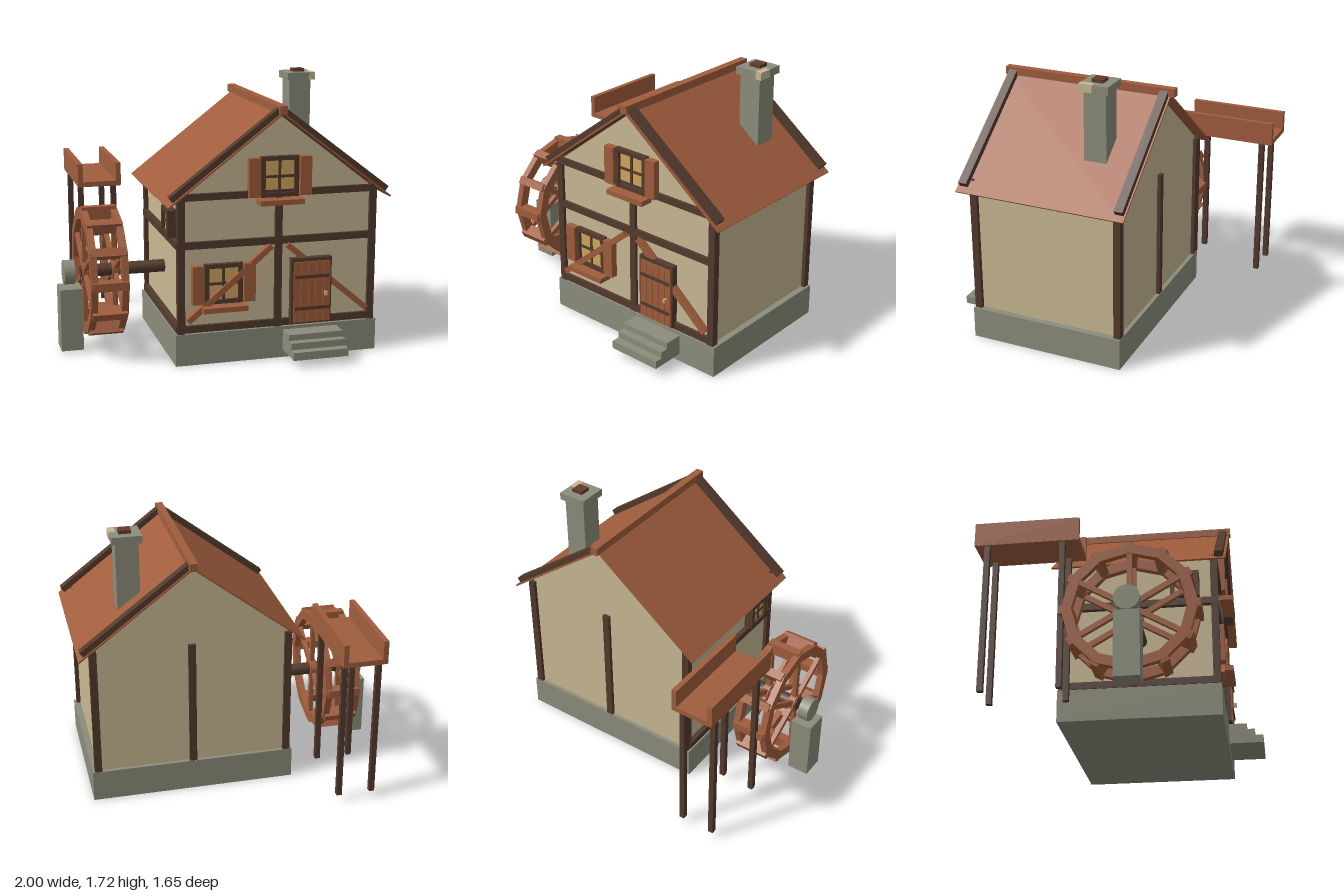
import * as THREE from 'three';

const mat = (name, color, side = THREE.FrontSide) => {
  const m = new THREE.MeshStandardMaterial({ color, side });
  m.name = name;
  return m;
};

export function createModel() {
  const plaster = mat('plaster', 0xc9b893);
  const stone = mat('stone', 0x8c8d7b);
  const darkWood = mat('dark wood', 0x533a2d);
  const redWood = mat('red wood', 0xa05d3d);
  const roofRed = mat('roof red', 0xa05d3d, THREE.DoubleSide);
  const gold = mat('window gold', 0xd0a65e);
  const brick = mat('flue brick', 0x633a2c);

  const model = new THREE.Group();
  model.name = 'watermill';
  const group = (name, parent = model) => {
    const g = new THREE.Group();
    g.name = name;
    parent.add(g);
    return g;
  };
  const add = (name, geo, material, parent = model) => {
    const m = new THREE.Mesh(geo, material);
    m.name = name;
    parent.add(m);
    return m;
  };
  // Box given by its limits on each axis
  const box = (name, material, x0, x1, y0, y1, z0, z1, parent = model) => {
    const m = add(name, new THREE.BoxGeometry(x1 - x0, y1 - y0, z1 - z0), material, parent);
    m.position.set((x0 + x1) / 2, (y0 + y1) / 2, (z0 + z1) / 2);
    return m;
  };
  // Sloping bar in the xy plane between two points
  const bar = (name, material, xa, ya, xb, yb, thick, z0, z1, parent = model) => {
    const m = add(name, new THREE.BoxGeometry(Math.hypot(xb - xa, yb - ya), thick, z1 - z0), material, parent);
    m.position.set((xa + xb) / 2, (ya + yb) / 2, (z0 + z1) / 2);
    m.rotation.z = Math.atan2(yb - ya, xb - xa);
    return m;
  };

  // Foundation and gabled walls
  box('foundation', stone, -0.36, 0.94, 0, 0.2, -0.385, 0.61);
  const outline = new THREE.Shape([[-0.32, 0.2], [0.9, 0.2], [0.9, 1.055], [0.29, 1.525], [-0.32, 1.055]]
    .map(([x, y]) => new THREE.Vector2(x, y)));
  add('walls', new THREE.ExtrudeGeometry(outline, { depth: 0.945, bevelEnabled: false }), plaster)
    .position.z = -0.36;

  // Timber frame
  const frame = group('timberFrame');
  for (const x of [-0.3225, 0.9025])
    for (const z of [0.5825, -0.36])
      box('cornerPost', darkWood, x - 0.0225, x + 0.0225, 0.2, 1.04, z - 0.0225, z + 0.0225, frame);
  for (const [y0, y1] of [[0.205, 0.25], [0.73, 0.775], [1.027, 1.07]])
    box('frontBeam', darkWood, -0.345, 0.925, y0, y1, 0.57, 0.604, frame);
  box('frontCentrePost', darkWood, 0.268, 0.314, 0.2, 1.04, 0.57, 0.603, frame);
  box('backCentrePost', darkWood, 0.268, 0.314, 0.2, 1.02, -0.382, -0.34, frame);
  for (const y of [0.205, 0.73])
    box('sideBeam', darkWood, -0.352, -0.31, y, y + 0.045, -0.36, 0.585, frame);
  for (const s of [-1, 1])
    bar('brace', redWood, 0.292 + s * 0.05, 0.725, 0.292 + s * 0.577, 0.28, 0.036, 0.585, 0.625, frame);

  // Roof: thin slopes, barge boards on top and a ridge beam
  const roof = group('roof');
  for (const s of [-1, 1]) {
    bar('roofSlope', roofRed, 0.29, 1.54, 0.29 + s * 0.703, 1.002, 0.01, -0.432, 0.66, roof);
    for (const z of s > 0 ? [0.618, -0.395] : [0.618])
      bar('bargeBoard', darkWood, 0.29, 1.559, 0.29 + s * 0.68, 1.043, 0.046, z - 0.027, z + 0.027, roof);
  }
  box('ridgeBeam', redWood, 0.267, 0.315, 1.535, 1.585, -0.463, 0.67, roof);

  // Chimney
  const chimney = group('chimney');
  box('chimneyStack', stone, 0.573, 0.716, 1.18, 1.65, -0.203, -0.06, chimney);
  box('chimneyCap', stone, 0.553, 0.738, 1.65, 1.697, -0.225, -0.04, chimney);
  box('capCornerStone', plaster, 0.7, 0.74, 1.649, 1.698, -0.125, -0.038, chimney);
  box('flue', brick, 0.61, 0.685, 1.69, 1.717, -0.17, -0.097, chimney);

  // Window around a centre point, facing +z from z = 0
  const makeWindow = (w, h, dressed) => {
    const g = group('window');
    const a = w / 2, b = h / 2;
    box('glass', gold, -a + 0.02, a - 0.02, -b + 0.02, b - 0.02, 0, 0.016, g);
    for (const s of [-1, 1]) {
      box('frameSide', darkWood, s * (a - 0.014) - 0.014, s * (a - 0.014) + 0.014, -b, b, 0, 0.034, g);
      box('frameRail', darkWood, -a, a, s * (b - 0.013) - 0.013, s * (b - 0.013) + 0.013, 0, 0.033, g);
    }
    box('mullion', darkWood, -0.008, 0.008, -b, b, 0, 0.023, g);
    box('glazingBar', darkWood, -a, a, -0.008, 0.008, 0, 0.022, g);
    if (dressed) {
      for (const s of [-1, 1])
        box('shutter', redWood, s * 0.162 - 0.036, s * 0.162 + 0.036, -0.12, 0.12, 0, 0.045, g);
      box('windowSill', redWood, -0.14, 0.14, -b - 0.04, -b - 0.008, 0, 0.09, g);
    }
    return g;
  };
  makeWindow(0.24, 0.25, true).position.set(-0.06, 0.507, 0.585);
  makeWindow(0.24, 0.25, true).position.set(0.29, 1.152, 0.585);
  const sideWindow = makeWindow(0.18, 0.17, false);
  sideWindow.position.set(-0.345, 0.865, 0.4);
  sideWindow.rotation.y = -Math.PI / 2;
  box('sideWindowBack', darkWood, -0.35, -0.31, 0.78, 0.95, 0.31, 0.49);

  // Plank door with hinges and knob
  const door = group('door');
  box('doorFrame', darkWood, 0.368, 0.63, 0.22, 0.635, 0.58, 0.627, door);
  for (let i = 0; i < 5; i++)
    box('plank', redWood, 0.382 + i * 0.048, 0.427 + i * 0.048, 0.225, 0.612, 0.6, 0.635, door);
  for (const y of [0.315, 0.518])
    box('hinge', darkWood, 0.39, 0.612, y - 0.01, y + 0.01, 0.6, 0.642, door);
  box('knob', gold, 0.581, 0.597, 0.393, 0.418, 0.63, 0.658, door);

  // Front steps
  for (const [top, z] of [[0.18, 0.725], [0.142, 0.775], [0.1, 0.828]])
    box('step', stone, 0.323, 0.675, 0.05, top, 0.6, z);

  // Water wheel, turning about the x axis
  const wheel = group('waterWheel');
  wheel.position.set(-0.737, 0.51, 0.12);
  for (const s of [-1, 1]) {
    const side = group('wheelSide', wheel);
    side.position.x = s * 0.095;
    for (let i = 0; i < 12; i++) {
      const turn = group('rimSegment', side);
      turn.rotation.x = (i + 0.5) * Math.PI / 6;
      box('rim', redWood, -0.021, 0.021, 0.325, 0.385, -0.103, 0.103, turn);
    }
    for (let i = 0; i < 6; i++) {
      const turn = group('spokeTurn', side);
      turn.rotation.x = i * Math.PI / 3;
      box('spoke', redWood, -0.014, 0.014, 0.02, 0.35, -0.016, 0.016, turn);
    }
    add('hub', new THREE.CylinderGeometry(0.06, 0.06, 0.046, 12), redWood, side).rotation.z = Math.PI / 2;
  }
  for (let i = 0; i < 12; i++) {
    const turn = group('paddleTurn', wheel);
    turn.rotation.x = i * Math.PI / 6;
    box('paddle', redWood, -0.108, 0.108, 0.335, 0.412, -0.026, 0.026, turn);
  }
  const lying = (name, r, x0, x1, material) => {
    const m = add(name, new THREE.CylinderGeometry(r, r, x1 - x0, 16), material);
    m.rotation.z = Math.PI / 2;
    m.position.set((x0 + x1) / 2, 0.508, 0.12);
  };
  lying('axle', 0.04, -0.86, -0.31, darkWood);
  lying('bearing', 0.077, -0.968, -0.9, stone);
  box('bearingPost', stone, -1, -0.86, 0.015, 0.415, 0.05, 0.2);

  // Flume on four legs
  const flume = group('flume');
  box('flumeFloor', redWood, -0.812, -0.534, 0.98, 1.012, -0.822, -0.188, flume);
  for (const x of [-0.797, -0.549]) {
    box('flumeSide', redWood, x - 0.016, x + 0.016, 0.985, 1.13, -0.823, -0.187, flume);
  }
  for (const x of [-0.782, -0.566])
    for (const z of [-0.748, -0.29])
      box('flumeLeg', darkWood, x - 0.017, x + 0.017, 0.05, 0.99, z - 0.017, z + 0.017, flume);

  return model;
}
